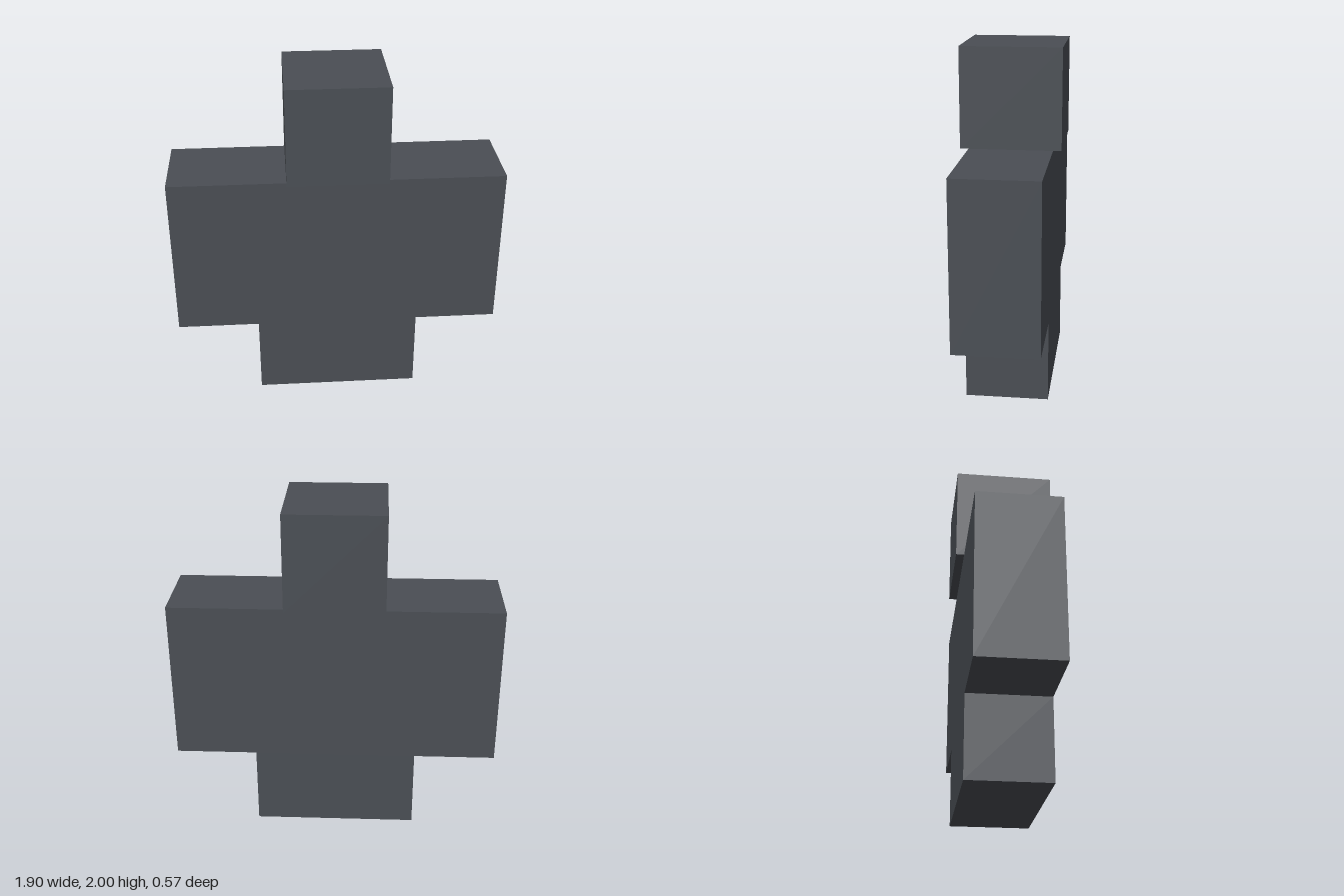
import * as THREE from 'three';

// Proportions in blocks; the whole figure is 4.2 blocks tall
const UNIT = 2 / 4.2;
const HEAD = 1.2 * UNIT;

export function createModel() {
  const group = new THREE.Group();
  group.name = 'blockFigure';
  const material = new THREE.MeshStandardMaterial({ color: 0x4a4e54, flatShading: true });

  // Torso, arms and legs share one flush outline: narrow legs, wide shoulders
  const outline = [[-1, 0], [1, 0], [1, 1], [2, 1], [2, 3], [-2, 3], [-2, 1], [-1, 1]];
  const shape = new THREE.Shape(outline.map(([x, y]) => new THREE.Vector2(x * UNIT, y * UNIT)));
  const bodyGeometry = new THREE.ExtrudeGeometry(shape, { depth: UNIT, bevelEnabled: false });
  bodyGeometry.translate(0, 0, -UNIT / 2);
  const body = new THREE.Mesh(bodyGeometry, material);
  body.name = 'torsoArmsAndLegs';
  group.add(body);

  // Cube head, slightly deeper than the body
  const head = new THREE.Mesh(new THREE.BoxGeometry(HEAD, HEAD, HEAD), material);
  head.name = 'head';
  head.position.y = 3 * UNIT + HEAD / 2;
  group.add(head);

  return group;
}
